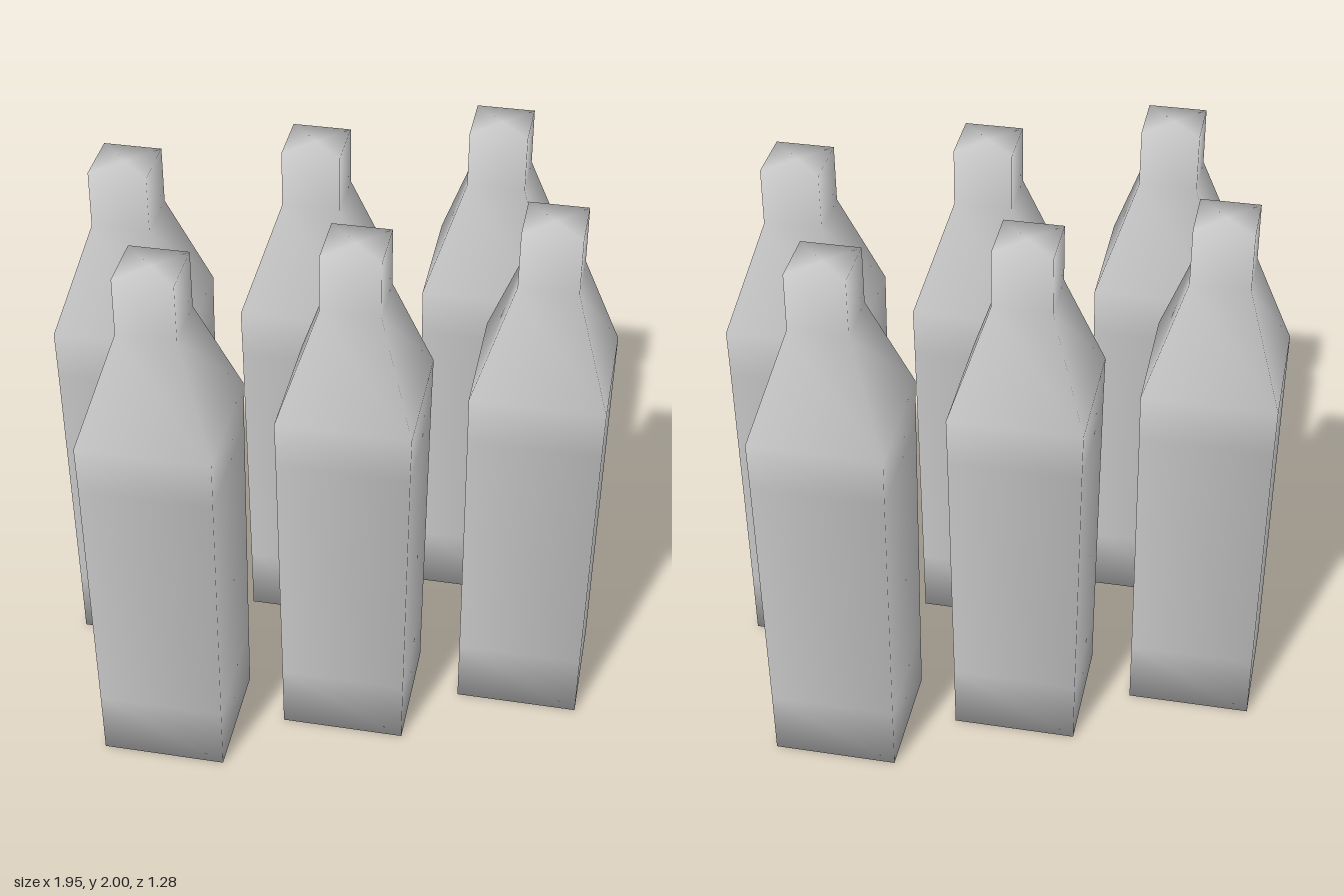
import * as THREE from 'three';

export function createModel() {
  const group = new THREE.Group();
  const material = new THREE.MeshStandardMaterial({ color: 0xcccccc });

  // Bottle profile (radius to corner, height), from base centre to mouth centre
  const profile = [
    [0, 0], [0.315, 0], [0.317, 0.25], [0.327, 1.22], [0.33, 1.4],
    [0.146, 1.79], [0.145, 2], [0, 2],
  ].map(([r, y]) => new THREE.Vector2(r, y));

  // Four-sided, smooth-shaded bottle turned by an eighth of a right angle pair
  const geometry = new THREE.LatheGeometry(profile, 4, Math.PI / 8);

  // Two rows of three bottles
  for (const [row, z] of [['back', -0.335], ['front', 0.335]]) {
    for (const [column, x] of [['Right', -0.67], ['Middle', 0], ['Left', 0.67]]) {
      const bottle = new THREE.Mesh(geometry, material);
      bottle.name = `${row}${column}Bottle`;
      bottle.position.set(x, 0, z);
      group.add(bottle);
    }
  }
  return group;
}
